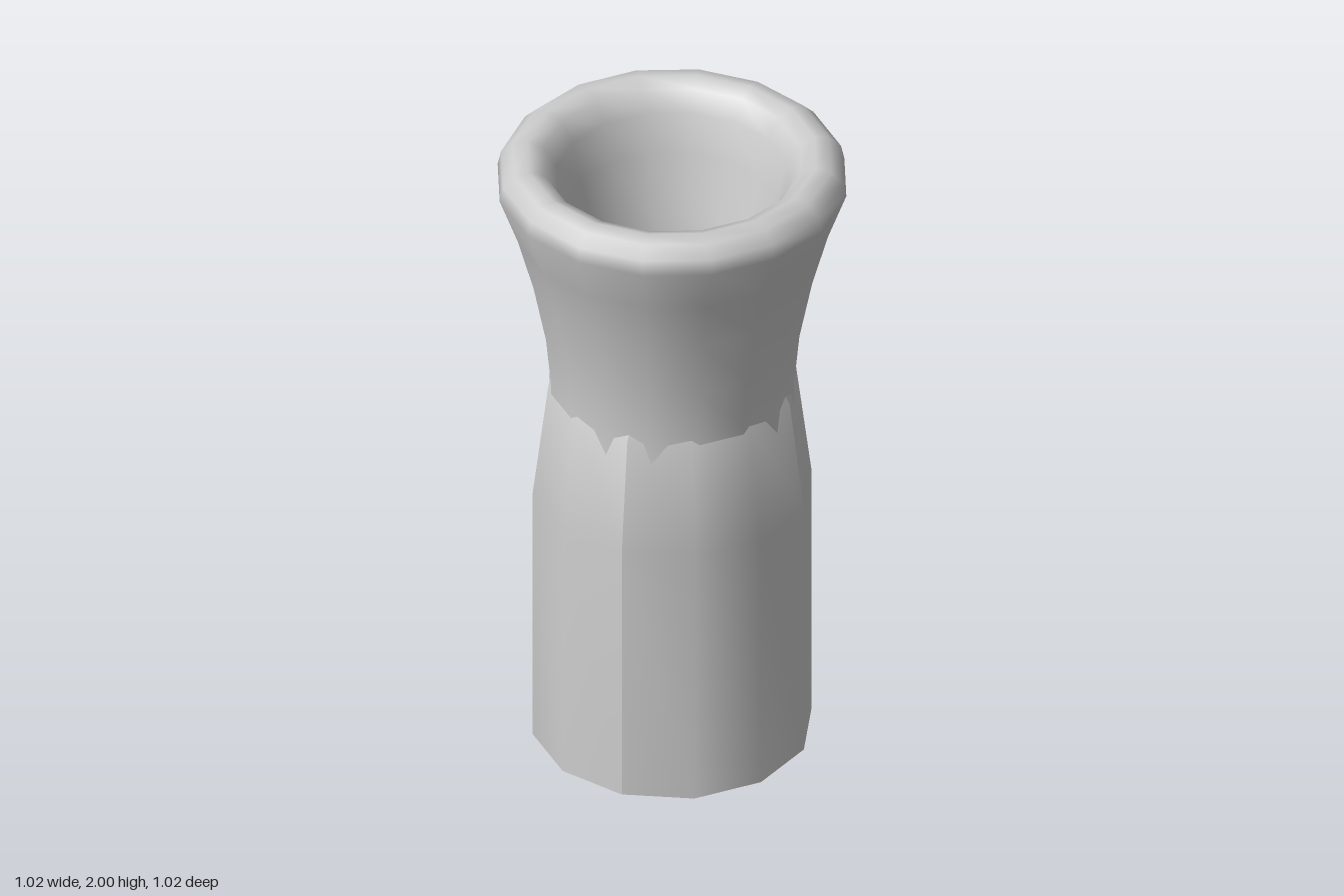
import * as THREE from 'three';
import { mergeVertices } from 'three/addons/utils/BufferGeometryUtils.js';

// Turned surface whose normals are smooth across its own faces only
function turned(points, sides, start, length) {
  const g = new THREE.LatheGeometry(points.map(([r, y]) => new THREE.Vector2(r, y)), sides, start, length);
  g.deleteAttribute('normal');
  g.deleteAttribute('uv');
  const welded = mergeVertices(g, 1e-4);
  welded.computeVertexNormals();
  return welded;
}

export function createModel() {
  const model = new THREE.Group();
  const grey = new THREE.MeshStandardMaterial({ color: 0xcccccc, side: THREE.DoubleSide });
  grey.name = 'light grey';

  // Open-bottomed body with a domed top, in four quarters with a crease between them
  const body = new THREE.Group();
  body.name = 'body';
  const bodyProfile = [[0.415, 0], [0.415, 0.85], [0.37, 1.21], [0.208, 1.47], [0, 1.6]];
  for (let i = 0; i < 4; i++) {
    const quarter = new THREE.Mesh(turned(bodyProfile, 3, i * Math.PI / 2, Math.PI / 2), grey);
    quarter.name = 'bodyQuarter';
    body.add(quarter);
  }
  model.add(body);

  // Flared collar: outer wall, rounded rim, inner funnel
  const collarProfile = [
    [0.367, 1.1], [0.364, 1.23], [0.38, 1.4], [0.418, 1.59], [0.465, 1.76], [0.52, 1.91],
    [0.51, 1.955], [0.475, 1.99], [0.43, 2], [0.385, 1.98], [0.345, 1.92],
    [0.315, 1.8], [0.27, 1.62], [0.235, 1.45], [0.235, 1.2],
  ];
  const collar = new THREE.Mesh(turned(collarProfile, 16, Math.PI / 16, Math.PI * 2), grey);
  collar.name = 'flaredCollar';
  model.add(collar);

  return model;
}
